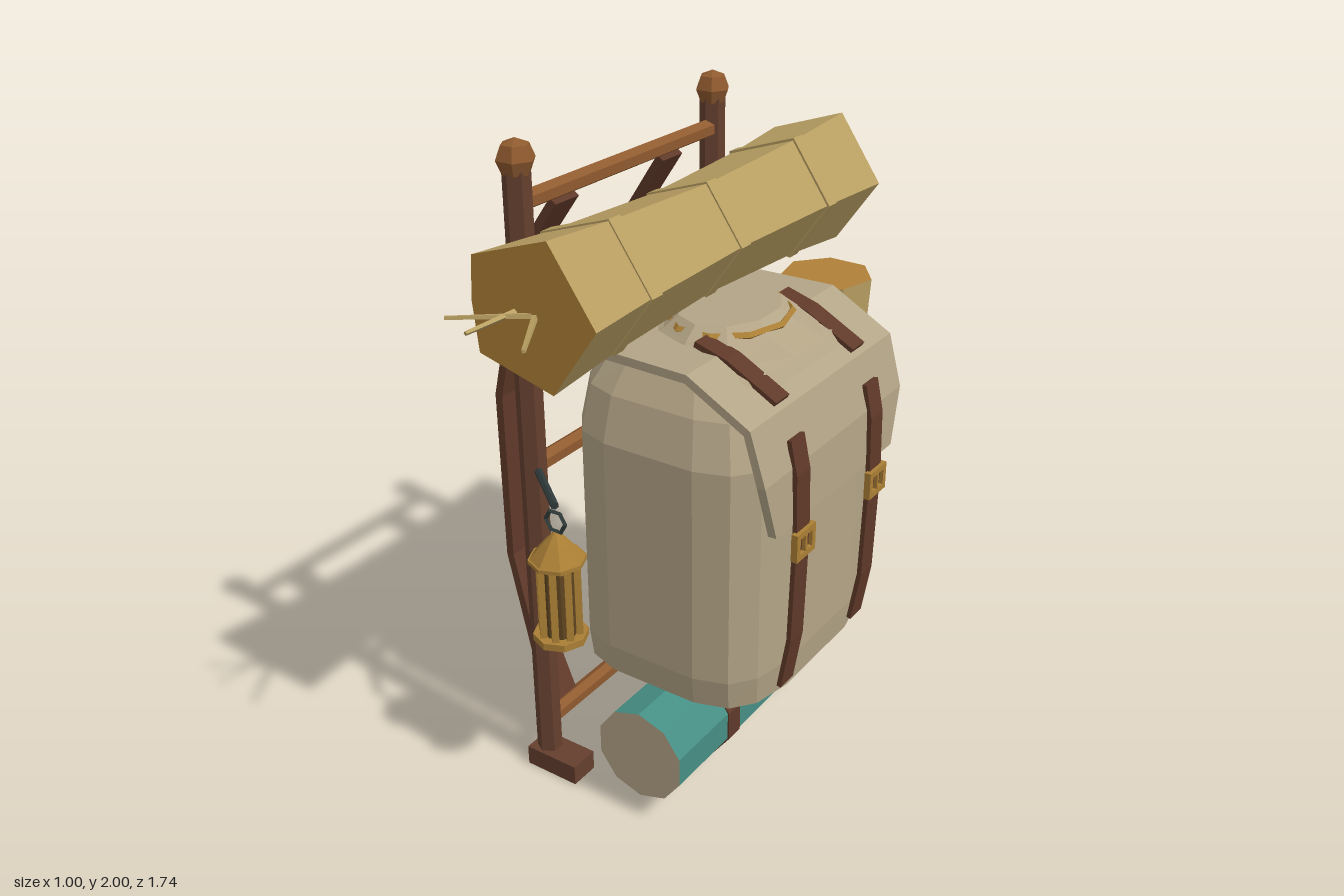
import * as THREE from 'three';

const V = (x, y, z) => new THREE.Vector3(x, y, z);
const mat = (name, color) => {
  const m = new THREE.MeshStandardMaterial({ color });
  m.name = name;
  return m;
};

// Skin closed rings into a faceted solid; group 0 = sides, group 1 = end caps
function loft(rings) {
  const sides = [], caps = [], n = rings[0].length;
  for (let i = 0; i < rings.length - 1; i++) {
    for (let j = 0; j < n; j++) {
      const k = (j + 1) % n, a = rings[i], b = rings[i + 1];
      sides.push([a[j], a[k], b[k]], [a[j], b[k], b[j]]);
    }
  }
  const centre = (r) => r.reduce((s, p) => s.add(p), V(0, 0, 0)).divideScalar(n);
  const first = rings[0], last = rings[rings.length - 1];
  const c0 = centre(first), c1 = centre(last);
  for (let j = 0; j < n; j++) {
    const k = (j + 1) % n;
    caps.push([c0, first[k], first[j]], [c1, last[j], last[k]]);
  }
  const tris = [...sides, ...caps];
  // turn every face outwards
  const volume = tris.reduce((s, [a, b, c]) => s + a.dot(b.clone().cross(c)), 0);
  if (volume < 0) tris.forEach((t) => t.reverse());
  const geo = new THREE.BufferGeometry().setFromPoints(tris.flat());
  geo.computeVertexNormals();
  geo.addGroup(0, sides.length * 3, 0);
  geo.addGroup(sides.length * 3, caps.length * 3, 1);
  return geo;
}

// Flat strip along [x, y, z, width] points, width running along z
function strip(path, thick) {
  return loft(path.map(([x, y, z, w], i) => {
    const a = path[Math.max(0, i - 1)], b = path[Math.min(path.length - 1, i + 1)];
    const d = Math.hypot(b[0] - a[0], b[1] - a[1]);
    const nx = -(b[1] - a[1]) / d * thick / 2, ny = (b[0] - a[0]) / d * thick / 2;
    return [V(x + nx, y + ny, z - w / 2), V(x + nx, y + ny, z + w / 2),
      V(x - nx, y - ny, z + w / 2), V(x - nx, y - ny, z - w / 2)];
  }));
}

function flat(geo) {
  const g = geo.index ? geo.toNonIndexed() : geo;
  g.computeVertexNormals();
  return g;
}

// Straight rod between two points
function rod(a, b, r, sides = 6, rEnd = r) {
  const dir = b.clone().sub(a);
  const g = new THREE.CylinderGeometry(rEnd, r, dir.length(), sides);
  g.applyQuaternion(new THREE.Quaternion().setFromUnitVectors(V(0, 1, 0), dir.clone().normalize()));
  const m = a.clone().add(b).multiplyScalar(0.5);
  return flat(g.translate(m.x, m.y, m.z));
}

const polygon = (n, r, phase = 0) => Array.from({ length: n }, (_, i) => {
  const t = phase + i / n * Math.PI * 2;
  return [r * Math.cos(t), r * Math.sin(t)];
});

export function createModel() {
  const model = new THREE.Group();
  const wood = mat('dark wood', 0x643f2e), rail = mat('light wood', 0x8f5a2f);
  const leather = mat('leather', 0x5f3929), canvas = mat('canvas', 0xb3a486);
  const reed = mat('reed mat', 0xb99f62), reedEnd = mat('reed core', 0xb08138);
  const teal = mat('teal cloth', 0x468f85), brass = mat('brass', 0xaa7f35);
  const iron = mat('iron', 0x2f3a39), glass = mat('smoky glass', 0x5f4520);
  const add = (name, geo, material, parent = model) => {
    const m = new THREE.Mesh(geo, material);
    m.name = name;
    parent.add(m);
    return m;
  };
  const box = (name, w, h, d, x, y, z, m, parent) =>
    add(name, new THREE.BoxGeometry(w, h, d).translate(x, y, z), m, parent);
  const mid = -0.02, postX = -0.255;

  // Frame: posts, finials, feet and rails
  for (const s of [1, -1]) {
    const z = mid + s * 0.457;
    add('post', rod(V(postX, 0.05, z), V(postX, 1.92, z), 0.039), wood);
    const knob = new THREE.SphereGeometry(0.055, 6, 4).translate(postX, 1.947, z);
    add('finial', flat(knob), rail);
    box('foot', 0.185, 0.065, 0.095, -0.2125, 0.0325, z, wood);
  }
  for (const y of [0.17, 1.06, 1.83]) {
    add('rail', rod(V(postX, y, mid - 0.45), V(postX, y, mid + 0.45), 0.028), rail);
  }

  // Shoulder straps
  for (const s of [1, -1]) {
    const path = [[-0.27, 1.79, 0.25], [-0.395, 1.61, 0.26], [-0.485, 1.17, 0.28],
      [-0.465, 0.64, 0.3], [-0.355, 0.3, 0.33], [-0.265, 0.17, 0.36]];
    add('shoulderStrap', strip(path.map(([x, y, z]) => [x, y, mid + s * z, 0.1]), 0.026), leather);
  }

  // Pack body: rounded rectangles stacked upwards [y, centre x, half x, half z]
  const soft = (v) => Math.sign(v) * Math.abs(v) ** 0.5;
  const oval = (y, cx, rx, rz, n, f) => polygon(n, 1, Math.PI / n)
    .map(([c, s]) => V(cx + rx * f(c), y, mid - rz * f(s)));
  const body = [[0.363, 0.095, 0.285, 0.35], [0.41, 0.11, 0.325, 0.405], [0.51, 0.115, 0.33, 0.425],
    [1.18, 0.115, 0.33, 0.425], [1.31, 0.105, 0.305, 0.385], [1.39, 0.095, 0.25, 0.33],
    [1.425, 0.09, 0.17, 0.27]];
  add('packBody', loft(body.map(([y, c, a, b]) => oval(y, c, a, b, 16, soft))), canvas);

  // Raised collar with brass rim
  const same = (v) => v;
  const collar = [[1.41, 0.27, 0.26], [1.445, 0.18, 0.225], [1.48, 0.135, 0.18]];
  add('collar', loft(collar.map(([y, a, b]) => oval(y, 0.11, a, b, 10, same))), canvas);
  const rim = new THREE.TorusGeometry(0.18, 0.012, 4, 10).rotateX(Math.PI / 2);
  add('collarRim', flat(rim.scale(0.92, 1, 1.08).translate(0.11, 1.455, mid)), brass);

  // Lid flap
  const flap = [[-0.06, 1.425, 0.76], [0.22, 1.425, 0.78], [0.41, 1.32, 0.78],
    [0.453, 1.17, 0.77], [0.46, 1.0, 0.665]];
  add('flap', strip(flap.map(([x, y, w]) => [x, y, mid, w]), 0.026), canvas);

  // Closing straps and buckles
  for (const s of [1, -1]) {
    const z = mid + s * 0.211;
    add('lidStrap', strip([[0.15, 1.455, z, 0.068], [0.25, 1.425, z, 0.068],
      [0.405, 1.342, z, 0.068]], 0.018), leather);
    add('closingStrap', strip([[0.452, 1.25, z, 0.07], [0.474, 1.15, z, 0.07], [0.48, 0.95, z, 0.07],
      [0.472, 0.62, z, 0.07], [0.445, 0.45, z, 0.07]], 0.014), leather);
    const buckle = new THREE.Group();
    buckle.name = 'buckle';
    model.add(buckle);
    for (const e of [1, -1]) {
      box('buckleBar', 0.02, 0.018, 0.1, 0.488, 0.937 + e * 0.034, z, brass, buckle);
      box('buckleSide', 0.02, 0.085, 0.018, 0.488, 0.937, z + e * 0.041, brass, buckle);
    }
    box('bucklePin', 0.016, 0.06, 0.01, 0.49, 0.937, z, brass, buckle);
  }

  // Long reed mat across the top, pinched at its ties
  const matShape = [[0.19, 0], [0.05, 0.2], [-0.19, 0.12], [-0.2, 0], [-0.185, -0.14], [0.05, -0.2]];
  const matRing = (z, k) => matShape.map(([x, y]) => V(x * k, 1.66 + y * k, z));
  add('topRoll', loft([[-0.74, 1], [-0.48, 0.89], [mid, 0.8], [0.43, 0.89], [0.695, 1]]
    .map(([z, k]) => matRing(z, k))), [reed, reedEnd]);
  for (const [z, k] of [[-0.475, 0.925], [mid, 0.835], [0.425, 0.925]]) {
    add('topRollTie', loft([matRing(z - 0.023, k), matRing(z + 0.023, k)]), reed);
  }

  // Loose stalks at both ends of the mat
  for (const [x0, z0, x1, z1] of [[-0.01, 0.69, -0.18, 0.815], [-0.06, 0.69, -0.072, 0.86],
    [0, 0.69, 0.11, 0.865], [-0.05, -0.73, -0.07, -0.875], [-0.08, -0.73, -0.18, -0.798]]) {
    add('stalk', rod(V(x0, 1.658, z0), V(x1, 1.656, z1), 0.009, 4, 0.006), reed);
  }

  // Upright reed mat on the side
  const sideRing = (y, r) => polygon(7, r, 0.2).map(([c, s]) => V(0.11 + c, y, -0.575 - s));
  add('sideRoll', loft([[0.43, 0.145], [0.67, 0.131], [0.92, 0.118], [1.16, 0.131], [1.4, 0.145]]
    .map(([y, r]) => sideRing(y, r))), [reed, reedEnd]);
  for (const y of [0.67, 1.16]) {
    add('sideRollTie', loft([sideRing(y - 0.02, 0.142), sideRing(y + 0.02, 0.142)]), reed);
  }

  // Bedroll beneath the pack
  const bedRing = (z, r) => polygon(10, r, Math.PI / 2).map(([c, s]) => V(0.127 + c, 0.225 + s, z));
  add('bedroll', loft([bedRing(-0.518, 0.15), bedRing(0.48, 0.15)]), [teal, canvas]);
  for (const z of [0.19, -0.297]) {
    add('bedrollStrap', loft([bedRing(z - 0.031, 0.155), bedRing(z + 0.031, 0.155)]), leather);
  }

  // Hanging lantern
  const lantern = new THREE.Group();
  lantern.name = 'lantern';
  lantern.position.set(-0.085, 0, 0.555);
  model.add(lantern);
  add('hook', rod(V(-0.15, 1.06, -0.11), V(0.005, 1.043, 0.005), 0.012), iron, lantern);
  add('ring', flat(new THREE.TorusGeometry(0.034, 0.007, 4, 6).translate(0, 0.99, 0)), iron, lantern);
  add('lanternBase', rod(V(0, 0.61, 0), V(0, 0.632, 0), 0.08, 8), brass, lantern);
  add('lanternGlass', rod(V(0, 0.63, 0), V(0, 0.87, 0), 0.05, 8), glass, lantern);
  for (const [x, z] of polygon(8, 0.055, Math.PI / 8)) {
    add('lanternBar', rod(V(x, 0.63, z), V(x, 0.87, z), 0.014, 4), brass, lantern);
  }
  add('lanternEaves', rod(V(0, 0.865, 0), V(0, 0.877, 0), 0.083, 8), brass, lantern);
  add('lanternRoof', rod(V(0, 0.877, 0), V(0, 0.925, 0), 0.078, 8, 0.038), brass, lantern);
  add('lanternTip', rod(V(0, 0.925, 0), V(0, 0.96, 0), 0.038, 8, 0.006), brass, lantern);

  return model;
}
